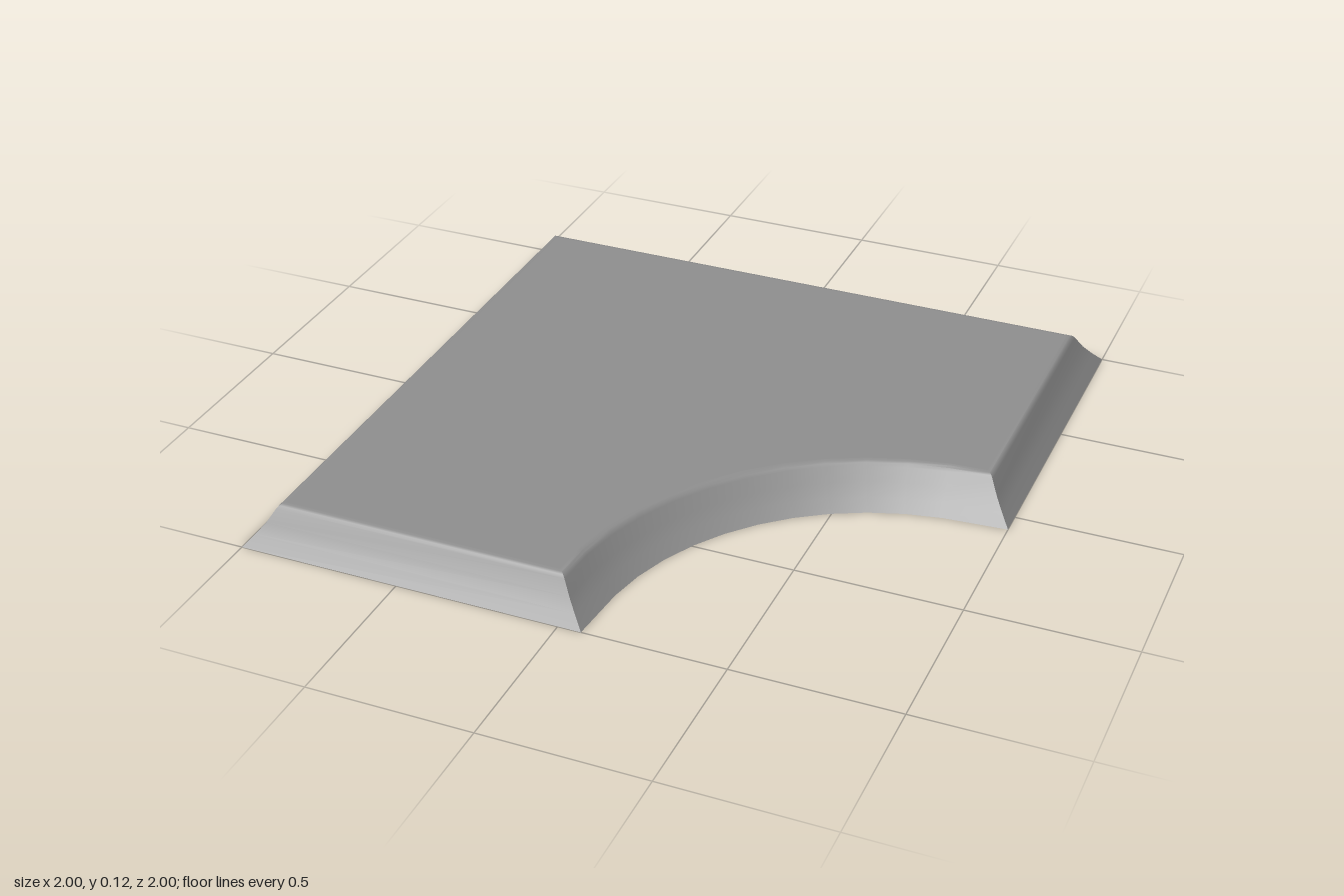
import * as THREE from 'three';
import { toCreasedNormals } from 'three/addons/utils/BufferGeometryUtils.js';

const ARC_STEPS = 12;
const ARC_CENTRE = 0.915;
// Edge section from the inner lip, under the foot and up the cove: [inset, height]
const PROFILE = [
  [0.055, 0.066], [0.03, 0], [0, 0], [0.03, 0.034], [0.055, 0.066],
  [0.078, 0.105], [0.084, 0.113], [0.091, 0.117], [0.1, 0.118],
];

// Outline of the square with one concave quarter-round corner, as [x, z] points
function outline(inset) {
  const e = 1 - inset;
  const r = 0.837 + inset * 1.15;
  const end = 0.07 - inset * 1.06;
  const points = [[-e, e], [end, e]];
  for (let i = 1; i < ARC_STEPS; i++) {
    const a = (Math.PI / 2) * (i / ARC_STEPS);
    points.push([ARC_CENTRE - r * Math.cos(a), ARC_CENTRE - r * Math.sin(a)]);
  }
  points.push([e, end], [e, -e], [-e, -e]);
  return points;
}

// Edge lofted through the outlines
function borderGeometry() {
  const rings = PROFILE.map(([inset, y]) => outline(inset).map(([x, z]) => [x, y, z]));
  const n = rings[0].length;
  const positions = rings.flat(2);
  const index = [];
  for (let k = 0; k < rings.length - 1; k++) {
    for (let i = 0; i < n; i++) {
      const a = k * n + i;
      const b = k * n + ((i + 1) % n);
      index.push(a, b, b + n, a, b + n, a + n);
    }
  }
  const geometry = new THREE.BufferGeometry();
  geometry.setAttribute('position', new THREE.Float32BufferAttribute(positions, 3));
  geometry.setIndex(index);
  return toCreasedNormals(geometry, Math.PI / 6);
}

export function createModel() {
  const group = new THREE.Group();
  group.name = 'cornerSlab';
  const material = new THREE.MeshStandardMaterial({ color: 0x909090, side: THREE.DoubleSide });

  // Coved border with a narrow foot, open underneath
  const border = new THREE.Mesh(borderGeometry(), material);
  border.name = 'covedBorder';
  group.add(border);

  // Flat top plate
  const [inset, height] = PROFILE[PROFILE.length - 1];
  const shape = new THREE.Shape(outline(inset).map(([x, z]) => new THREE.Vector2(x, -z)));
  const top = new THREE.Mesh(new THREE.ShapeGeometry(shape).rotateX(-Math.PI / 2), material);
  top.position.y = height;
  top.name = 'topPlate';
  group.add(top);

  return group;
}
